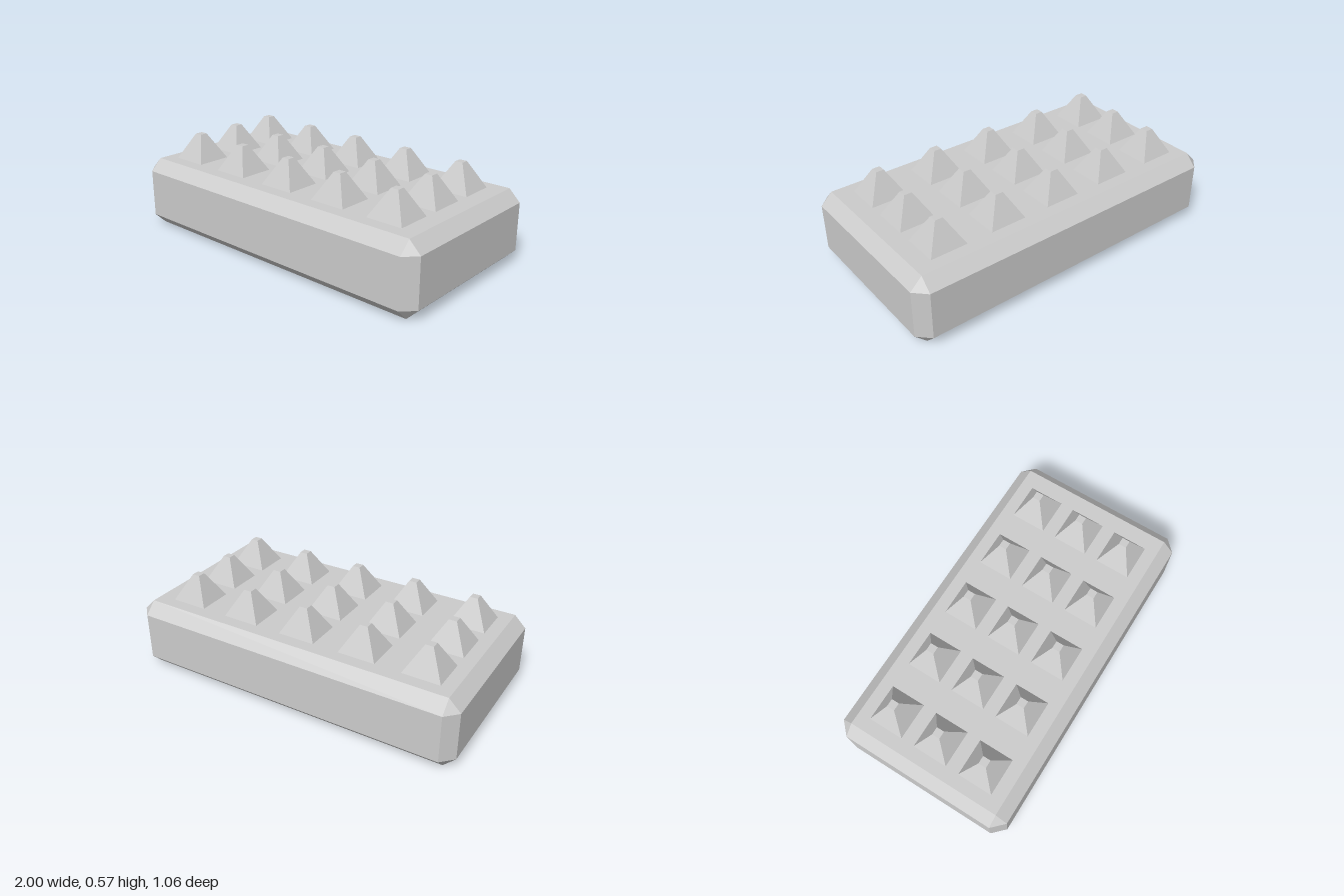
import * as THREE from 'three';
import { ConvexGeometry } from 'three/addons/geometries/ConvexGeometry.js';

const material = new THREE.MeshStandardMaterial({ color: 0xcccccc, flatShading: true });

// Box with every edge cut at 45 degrees and triangular corner facets
function chamferedBox(hx, hy, hz, c) {
  const points = [];
  for (const x of [-1, 1]) for (const y of [-1, 1]) for (const z of [-1, 1]) {
    points.push(
      new THREE.Vector3(x * hx, y * (hy - c), z * (hz - c)),
      new THREE.Vector3(x * (hx - c), y * hy, z * (hz - c)),
      new THREE.Vector3(x * (hx - c), y * (hy - c), z * hz)
    );
  }
  return new ConvexGeometry(points);
}

// Four-sided spike with a small flat tip, standing on y = 0
function spikeGeometry(width, depth, height, tip) {
  const geometry = new THREE.BoxGeometry(width, height, depth);
  geometry.translate(0, height / 2, 0);
  const p = geometry.attributes.position;
  for (let i = 0; i < p.count; i++) {
    if (p.getY(i) > height / 2) {
      p.setX(i, Math.sign(p.getX(i)) * tip / 2);
      p.setZ(i, Math.sign(p.getZ(i)) * tip / 2);
    }
  }
  geometry.computeVertexNormals();
  return geometry;
}

export function createModel() {
  const model = new THREE.Group();
  model.name = 'spikedBlock';
  const bodyHeight = 0.416;

  // Block
  const body = new THREE.Mesh(chamferedBox(1, bodyHeight / 2, 0.531, 0.068), material);
  body.name = 'body';
  body.position.y = bodyHeight / 2;
  model.add(body);

  // Five by three grid of spikes, slightly off centre
  const spikes = new THREE.Group();
  spikes.name = 'spikes';
  spikes.position.set(-0.012, bodyHeight, -0.002);
  const geometry = spikeGeometry(0.216, 0.206, 0.152, 0.045);
  for (let column = -2; column <= 2; column++) {
    for (let row = -1; row <= 1; row++) {
      const spike = new THREE.Mesh(geometry, material);
      spike.name = 'spike';
      spike.position.set(column * 0.3685, 0, row * 0.286);
      spikes.add(spike);
    }
  }
  model.add(spikes);
  return model;
}
